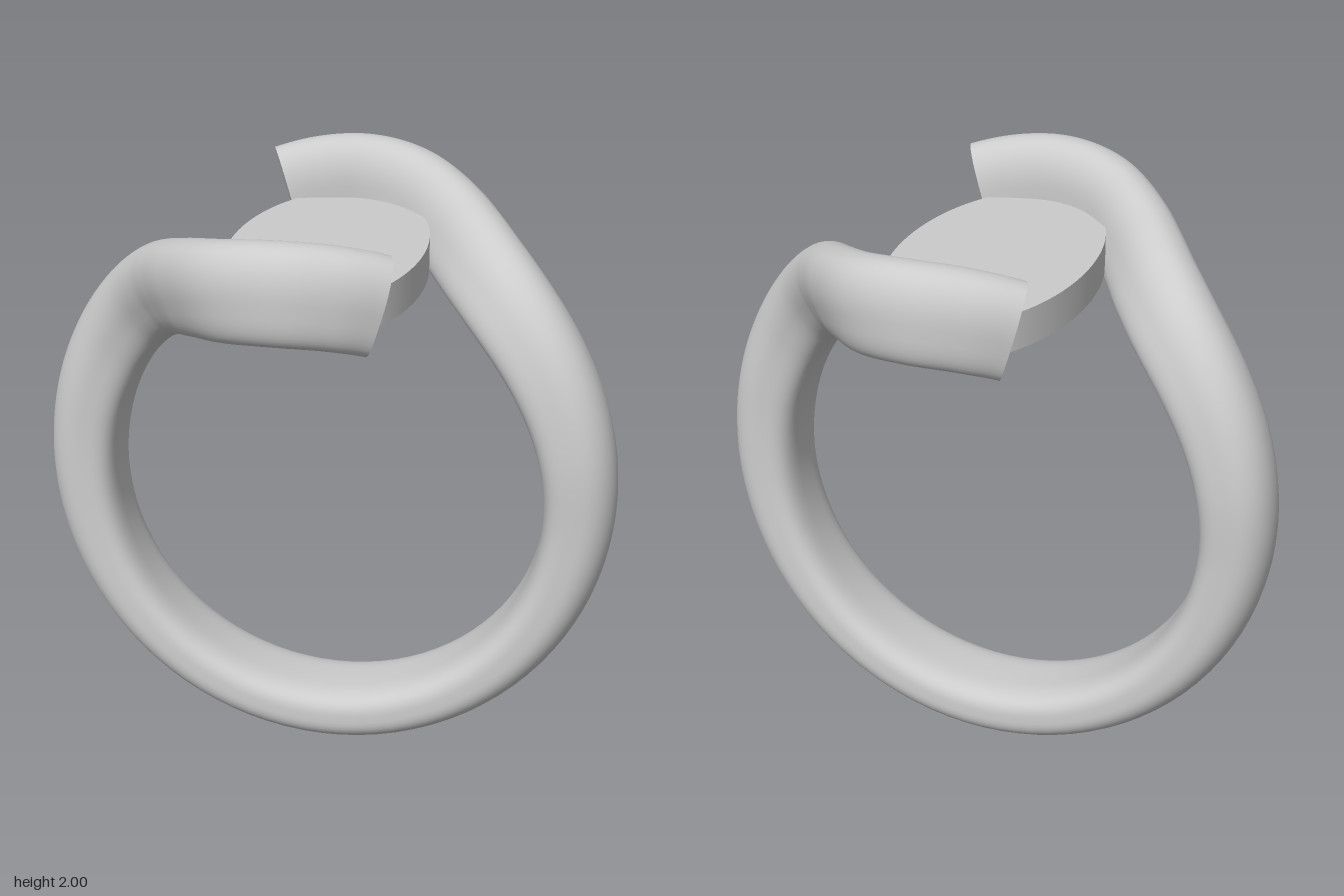
import * as THREE from 'three';

const CENTRE_Y = 0.945;
const STEPS = 260, SIDES = 48;

// Half of the band, from its free end over the top down to the bottom:
// [degrees from the top, sideways shift z, half width]
const half = [
  [-16, -0.53, 0.094], [-8, -0.57, 0.098], [2, -0.587, 0.1], [12.5, -0.53, 0.102], [23, -0.37, 0.105],
  [29, -0.25, 0.109], [34, -0.16, 0.113], [42.5, -0.06, 0.12], [54, 0.003, 0.13], [73, 0.035, 0.143],
  [95, 0.034, 0.144], [135, 0.016, 0.152],
];

// Rounded outside, squarer inside
function section(v) {
  const c = Math.cos(v), s = Math.sin(v);
  const p = c > 0 ? 2 / 2.2 : 2 / 3.4;
  return [Math.sign(c) * Math.abs(c) ** p, Math.sign(s) * Math.abs(s) ** p];
}

function bandGeometry() {
  // the second half is the first turned half way round the vertical axis
  const keys = [...half, [180, 0, 0.158],
    ...[...half].reverse().map(([a, z, w]) => [360 - a, -z, w])];
  const guide = new THREE.CatmullRomCurve3(
    keys.map(([a, z, w]) => new THREE.Vector3(THREE.MathUtils.degToRad(a), z, w)));

  // centre line and radial half thickness
  const centres = [], radials = [], sizes = [];
  for (let i = 0; i <= STEPS; i++) {
    const g = guide.getPoint(i / STEPS);
    const s = Math.sin(g.x), c = Math.cos(g.x);
    const inner = 0.731 + 0.014 * c * c;
    const outer = 0.965 + 0.055 * c + 0.035 * c * c;
    const r = (inner + outer) / 2;
    centres.push(new THREE.Vector3(r * s, CENTRE_Y + r * c, g.y));
    radials.push(new THREE.Vector3(s, c, 0));
    sizes.push([(outer - inner) / 2, g.z]);
  }

  const pos = [], index = [];
  const rings = centres.map((p, i) => {
    const T = centres[Math.min(i + 1, STEPS)].clone().sub(centres[Math.max(i - 1, 0)]).normalize();
    const R = radials[i], B = T.clone().cross(R).normalize();
    return Array.from({ length: SIDES }, (_, j) => {
      const [a, b] = section((j / SIDES) * Math.PI * 2);
      return p.clone().addScaledVector(R, a * sizes[i][0]).addScaledVector(B, b * sizes[i][1]);
    });
  });
  rings.forEach(ring => ring.forEach(q => pos.push(q.x, q.y, q.z)));
  for (let i = 0; i < STEPS; i++) {
    for (let j = 0; j < SIDES; j++) {
      const k = (j + 1) % SIDES;
      const a = i * SIDES + j, b = i * SIDES + k;
      index.push(a, b, a + SIDES, b, b + SIDES, a + SIDES);
    }
  }

  // flat ends with their own corners, so the rims stay sharp
  for (const i of [0, STEPS]) {
    const start = pos.length / 3;
    [centres[i], ...rings[i]].forEach(q => pos.push(q.x, q.y, q.z));
    for (let j = 0; j < SIDES; j++) {
      const a = start + 1 + j, b = start + 1 + (j + 1) % SIDES;
      if (i === 0) index.push(start, b, a);
      else index.push(start, a, b);
    }
  }

  const geo = new THREE.BufferGeometry();
  geo.setAttribute('position', new THREE.Float32BufferAttribute(pos, 3));
  geo.setIndex(index);
  geo.computeVertexNormals();
  return geo;
}

export function createModel() {
  const group = new THREE.Group();
  group.name = 'ring';
  const material = new THREE.MeshStandardMaterial({ color: 0xcccccc });

  // open band sweeping past the plate on both sides
  const band = new THREE.Mesh(bandGeometry(), material);
  band.name = 'band';
  group.add(band);

  // flat oval plate held between the two ends
  const plate = new THREE.Mesh(new THREE.CylinderGeometry(1, 1, 0.12, 96), material);
  plate.name = 'ovalPlate';
  plate.scale.set(0.315, 1, 0.57);
  plate.position.y = 1.745;
  group.add(plate);

  return group;
}
